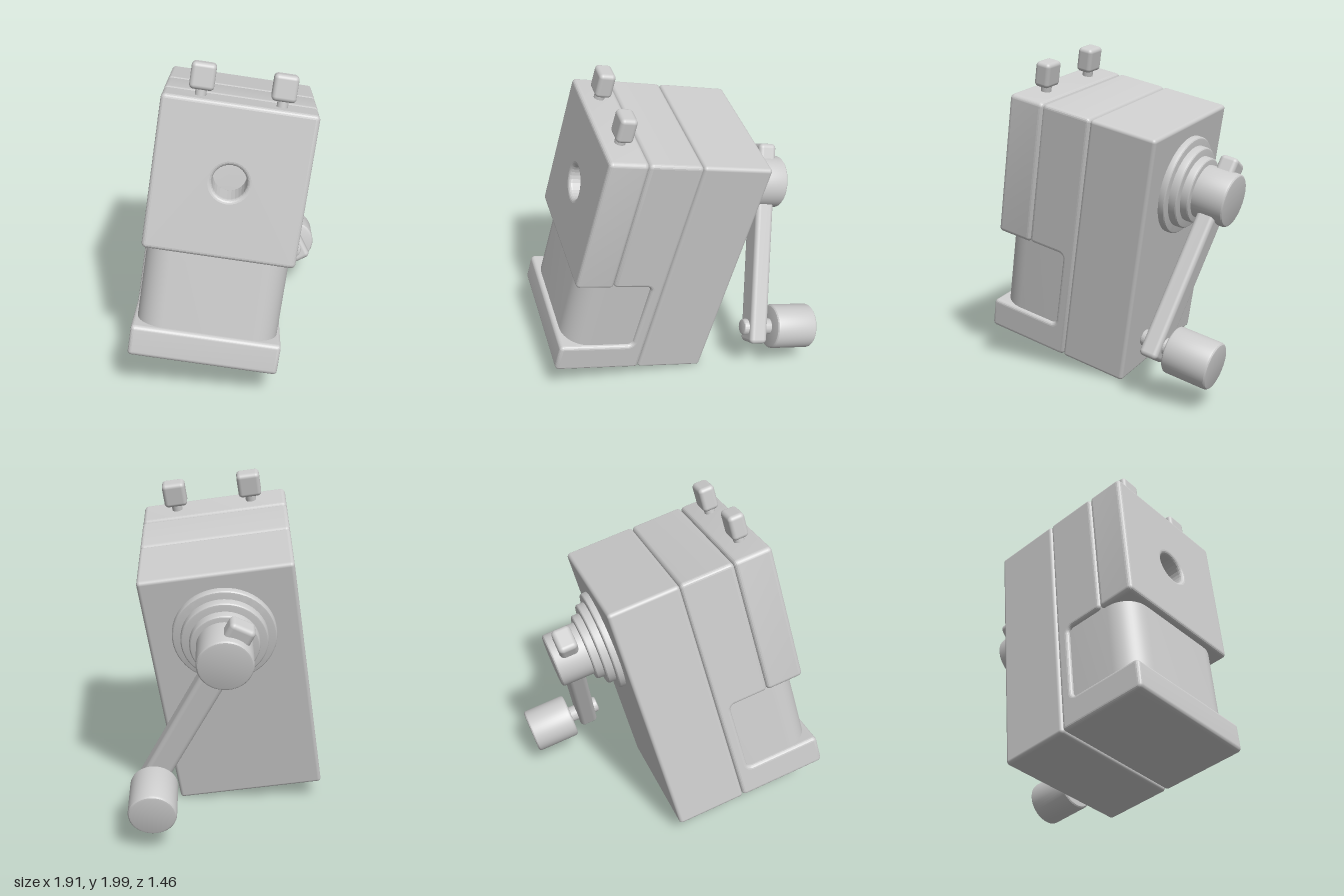
import * as THREE from 'three';
import { toCreasedNormals } from 'three/addons/utils/BufferGeometryUtils.js';
import { RoundedBoxGeometry } from 'three/addons/geometries/RoundedBoxGeometry.js';

const grey = new THREE.MeshStandardMaterial({ color: 0xcccccc });
const WIDTH = 0.887, HEIGHT = 1.574;

function part(name, geometry, parent, x = 0, y = 0, z = 0) {
  const mesh = new THREE.Mesh(geometry, grey);
  mesh.name = name;
  mesh.position.set(x, y, z);
  parent.add(mesh);
  return mesh;
}

// Closed outline from [x, y, radius] corners
function outline(corners) {
  const shape = new THREE.Shape();
  const n = corners.length;
  corners.forEach(([x, y, r], i) => {
    const c = new THREE.Vector2(x, y);
    const towards = (j) => {
      const p = new THREE.Vector2(corners[j][0], corners[j][1]);
      return p.sub(c).setLength(r).add(c);
    };
    const a = towards((i + n - 1) % n), b = towards((i + 1) % n);
    if (i) shape.lineTo(a.x, a.y); else shape.moveTo(a.x, a.y);
    // Circular-looking corner
    const k = 0.5523;
    const h1 = a.clone().lerp(c, k), h2 = b.clone().lerp(c, k);
    shape.bezierCurveTo(h1.x, h1.y, h2.x, h2.y, b.x, b.y);
  });
  shape.closePath();
  return shape;
}

// Extrusion from z = 0 to depth, with bevels kept inside the outline
function slab(shape, depth, bevel) {
  return new THREE.ExtrudeGeometry(shape, {
    depth: depth - 2 * bevel, bevelEnabled: bevel > 0, bevelSize: bevel,
    bevelThickness: bevel, bevelOffset: -bevel, bevelSegments: 4, curveSegments: 14,
  }).translate(0, 0, bevel);
}

// Turned disc pointing backwards from depth t0 to t1, with rounded rims
function turned(r, t0, t1, b = 0.015) {
  const pts = [new THREE.Vector2(0, t0)];
  for (let i = 0; i <= 3; i++) {
    const a = (i / 3) * Math.PI / 2;
    pts.push(new THREE.Vector2(r - b + b * Math.sin(a), t0 + b - b * Math.cos(a)));
  }
  for (let i = 0; i <= 3; i++) {
    const a = (i / 3) * Math.PI / 2;
    pts.push(new THREE.Vector2(r - b + b * Math.cos(a), t1 - b + b * Math.sin(a)));
  }
  pts.push(new THREE.Vector2(0, t1));
  const g = new THREE.LatheGeometry(pts, 56).rotateX(-Math.PI / 2);
  return toCreasedNormals(g, 0.3);
}

export function createModel() {
  const model = new THREE.Group();
  model.name = 'crankSharpener';
  const body = new THREE.Group();
  body.name = 'body';
  model.add(body);

  // Rear block
  part('rearBlock', new RoundedBoxGeometry(WIDTH, HEIGHT, 0.43, 4, 0.022), body, 0, HEIGHT / 2, 0.215);

  // Middle housing with the bottom ledge, cut out for the drawer
  const r = 0.028;
  const side = outline([
    [0.43, 0, r], [0.98, 0, r], [0.98, 0.19, r], [0.51, 0.19, 0.035],
    [0.51, 0.68, 0.035], [0.757, 0.68, r], [0.757, HEIGHT, r], [0.43, HEIGHT, r],
  ]);
  const housing = slab(side, WIDTH, 0.022).rotateY(-Math.PI / 2).translate(WIDTH / 2, 0, 0);
  part('housing', toCreasedNormals(housing, 0.18), body);

  // Shavings drawer with rounded front corners
  const plan = outline([
    [-0.42, 0.48, 0.01], [0.42, 0.48, 0.01], [0.42, 0.95, 0.16], [-0.42, 0.95, 0.16],
  ]);
  const drawer = slab(plan, 0.52, 0).rotateX(Math.PI / 2).translate(0, 0.695, 0);
  part('drawer', toCreasedNormals(drawer, 0.3), body);

  // Front head with the flared pencil hole
  const w = WIDTH / 2, low = 0.674;
  const face = outline([[-w, low, r], [w, low, r], [w, HEIGHT, r], [-w, HEIGHT, r]]);
  const hole = new THREE.Path();
  hole.absarc(0, 1.125, 0.1, 0, Math.PI * 2, true);
  face.holes.push(hole);
  const head = slab(face, 0.233, 0.024).translate(0, 0, 0.757);
  part('head', toCreasedNormals(head, 0.18), body);

  // Two clamp buttons on top of the head
  for (const s of [-1, 1]) {
    part('buttonStem', new THREE.CylinderGeometry(0.032, 0.032, 0.09, 24), body, s * 0.23, HEIGHT + 0.03, 0.878);
    part('button', new RoundedBoxGeometry(0.14, 0.152, 0.1, 4, 0.025), body, s * 0.23, 1.684, 0.878);
  }

  // Stepped boss and crank hub on the back
  const crank = new THREE.Group();
  crank.name = 'crank';
  crank.position.set(0, 1.18, 0);
  body.add(crank);
  part('bossOuter', turned(0.3, -0.02, 0.04), crank);
  part('bossMiddle', turned(0.25, 0, 0.09), crank);
  part('bossInner', turned(0.2, 0, 0.14), crank);
  part('hub', turned(0.162, 0.1, 0.34, 0.018), crank);

  // Crank arm running through the hub, and its handle
  const swing = new THREE.Group();
  swing.name = 'arm';
  swing.rotation.z = Math.atan2(0.525, 0.76);
  crank.add(swing);
  const reach = 0.924, top = 0.235, bottom = -reach - 0.1;
  part('armBar', new RoundedBoxGeometry(0.155, top - bottom, 0.115, 4, 0.028), swing, 0, (top + bottom) / 2, -0.235);
  part('handlePin', turned(0.05, 0.145, 0.36, 0.012), swing, 0, -reach, 0);
  part('handle', turned(0.14, 0.335, 0.615, 0.018), swing, 0, -reach, 0);

  // Lean and turn the whole body
  const right = new THREE.Vector3(0.738, -0.141, 0.66).normalize();
  const front = right.clone().cross(new THREE.Vector3(0.248, 0.966, -0.076)).normalize();
  const up = front.clone().cross(right);
  body.quaternion.setFromRotationMatrix(new THREE.Matrix4().makeBasis(right, up, front));
  body.position.set(-0.027, 0.0625, -0.283);
  return model;
}
